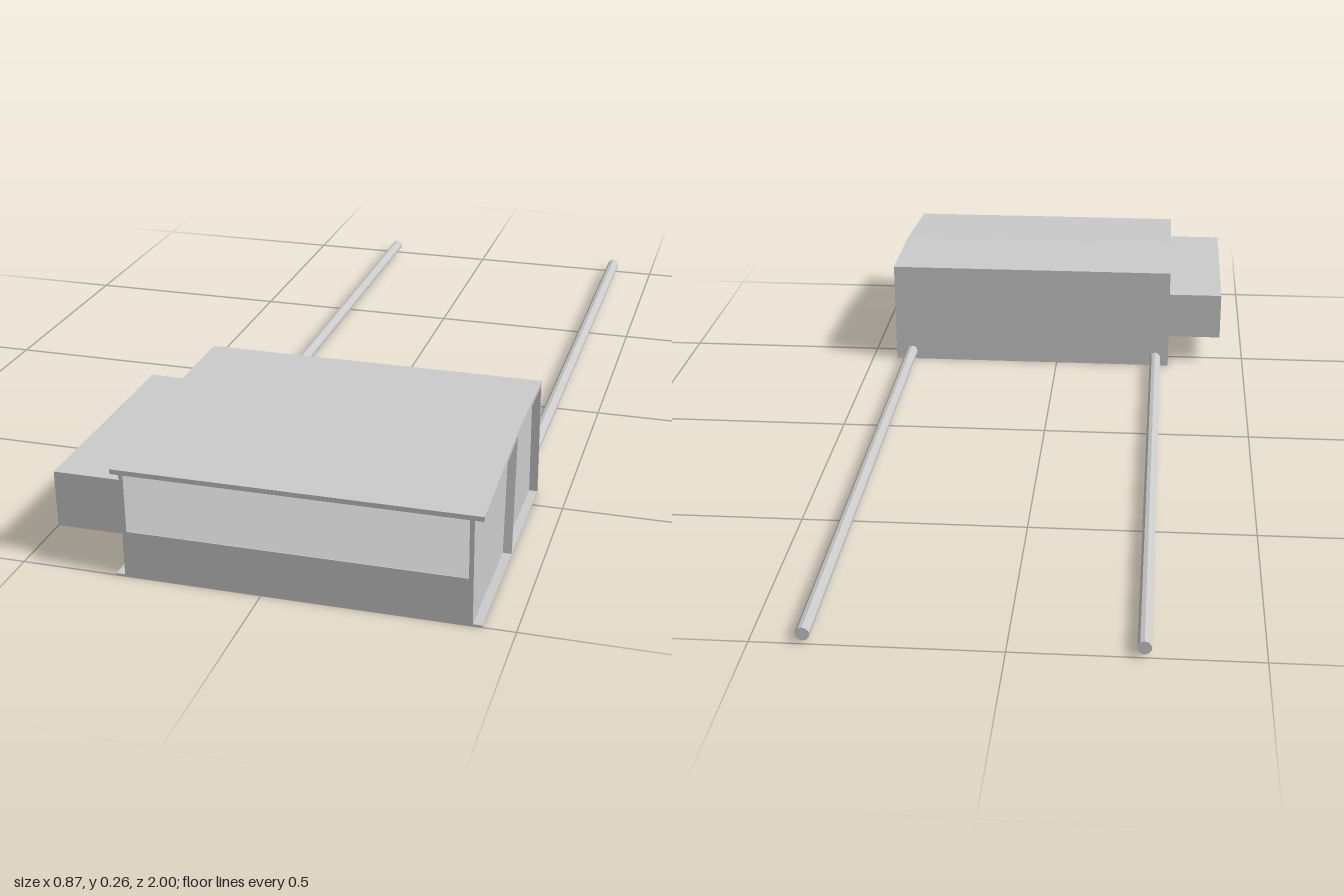
import * as THREE from 'three';

const LEFT = 0.435, RIGHT = -0.30;   // outer edges of floor, roof and back wall
const LIP = 0.018, WALL = 0.009;     // side walls sit back from the outer edges
const BACK = 0.437, FRONT = 1.0, RIDGE = 0.69;

const material = new THREE.MeshStandardMaterial({ color: 0xcccccc, flatShading: true });

function add(group, name, geometry) {
  const mesh = new THREE.Mesh(geometry, material);
  mesh.name = name;
  group.add(mesh);
  return mesh;
}

// Box given by its limits on each axis
function block(group, name, [x0, x1], [y0, y1], [z0, z1]) {
  const mesh = add(group, name, new THREE.BoxGeometry(x1 - x0, y1 - y0, z1 - z0));
  mesh.position.set((x0 + x1) / 2, (y0 + y1) / 2, (z0 + z1) / 2);
}

// Side outline of [z, y] points, extruded across x
function profile(group, name, points, x0, x1) {
  const shape = new THREE.Shape(points.map(([z, y]) => new THREE.Vector2(-z, y)));
  const geometry = new THREE.ExtrudeGeometry(shape, { depth: x1 - x0, bevelEnabled: false });
  geometry.rotateY(Math.PI / 2).translate(x0, 0, 0);
  add(group, name, geometry);
}

export function createModel() {
  const model = new THREE.Group();
  model.name = 'hutch';
  const inL = LEFT - LIP, inR = RIGHT + LIP;

  // Floor, back wall and low front wall
  block(model, 'floor', [RIGHT, LEFT], [0, 0.004], [BACK, FRONT]);
  block(model, 'backWall', [RIGHT, LEFT], [0.004, 0.252], [BACK, BACK + 0.006]);
  block(model, 'frontWall', [inR, inL], [0.004, 0.1], [FRONT - WALL, FRONT]);

  // Roof: flat at the back, sloping down to the front
  profile(model, 'roof', [
    [BACK, 0.252], [RIDGE, 0.252], [FRONT, 0.222],
    [FRONT, 0.232], [RIDGE, 0.262], [BACK, 0.262],
  ], RIGHT, LEFT);

  // Side walls with a thin leaning rib on the outside of each
  const wall = [[BACK + 0.006, 0.004], [FRONT, 0.004], [FRONT, 0.222], [RIDGE, 0.252], [BACK + 0.006, 0.252]];
  const rib = [[0.720, 0.004], [0.724, 0.004], [0.694, 0.252], [0.690, 0.252]];
  profile(model, 'leftWall', wall, inL - WALL, inL);
  profile(model, 'rightWall', wall, inR, inR + WALL);
  profile(model, 'leftRib', rib, inL, LEFT);
  profile(model, 'rightRib', rib, RIGHT, inR);

  // Front panel leaning back under the roof
  profile(model, 'slopingPanel', [
    [0.990, 0.1], [0.998, 0.1], [0.876, 0.234], [0.868, 0.234],
  ], inR + WALL, inL - WALL);

  // Side box
  block(model, 'sideBox', [-0.437, inR], [0.072, 0.191], [0.47, 0.963]);

  // Carrying poles out of the back
  for (const [name, x] of [['rightPole', -0.265], ['leftPole', 0.393]]) {
    const length = BACK + 1;
    const pole = add(model, name, new THREE.CylinderGeometry(0.0145, 0.0145, length, 10));
    pole.rotation.x = Math.PI / 2;
    pole.position.set(x, 0.022, -1 + length / 2);
  }
  return model;
}
